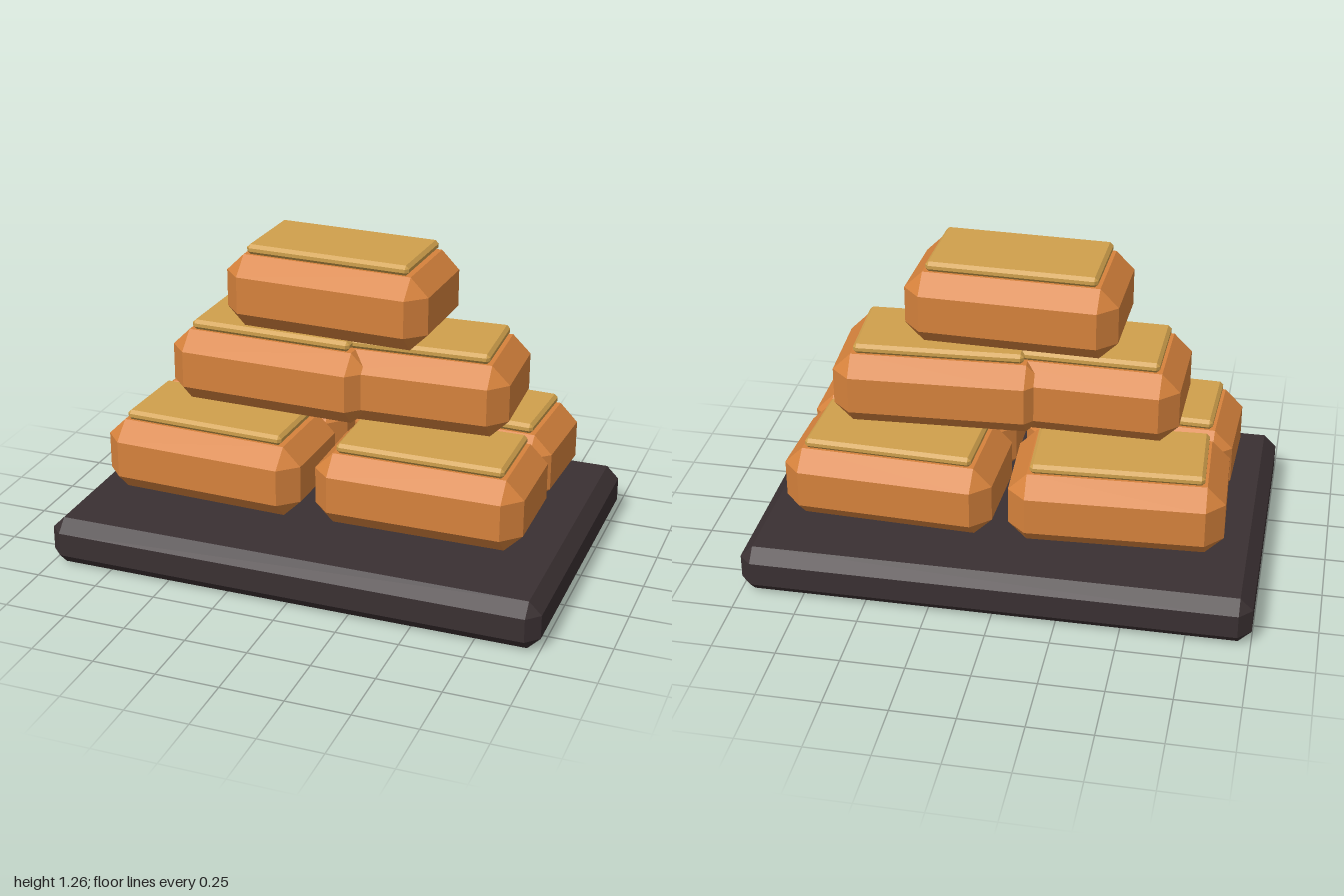
import * as THREE from 'three';
import { ConvexGeometry } from 'three/addons/geometries/ConvexGeometry.js';

const flat = (name, color) => {
  const m = new THREE.MeshStandardMaterial({ color });
  m.name = name;
  return m;
};

// Box with every edge and corner cut by the bevel c
function chamferBox(w, h, d, c) {
  const points = [];
  for (const sx of [-1, 1]) for (const sy of [-1, 1]) for (const sz of [-1, 1]) {
    const x = w / 2, y = h / 2, z = d / 2;
    points.push(
      new THREE.Vector3(sx * x, sy * (y - c), sz * (z - c)),
      new THREE.Vector3(sx * (x - c), sy * y, sz * (z - c)),
      new THREE.Vector3(sx * (x - c), sy * (y - c), sz * z)
    );
  }
  return new ConvexGeometry(points);
}

export function createModel() {
  const model = new THREE.Group();
  model.name = 'brickPile';
  const charcoal = flat('charcoal', 0x3a3032);
  const copper = flat('copper', 0xd6823c);
  const gold = flat('gold', 0xd0a04c);

  const add = (parent, name, geometry, material, y) => {
    const mesh = new THREE.Mesh(geometry, material);
    mesh.name = name;
    mesh.position.y = y;
    parent.add(mesh);
  };

  // Base slab
  add(model, 'base', chamferBox(2, 0.196, 1.314, 0.05), charcoal, 0.098);

  // Stacked bricks, each with a thin top plate: name, x, bottom y, z, turn
  const body = chamferBox(0.83, 0.292, 0.485, 0.072);
  const plate = chamferBox(0.665, 0.04, 0.345, 0.013);
  const bricks = [
    ['bottomFrontRight', -0.44, 0.25, 0.2, -0.035],
    ['bottomFrontLeft', 0.437, 0.25, 0.193, 0.005],
    ['bottomBackRight', -0.44, 0.25, -0.25, 0.045],
    ['bottomBackLeft', 0.437, 0.25, -0.25, -0.045],
    ['middleRight', -0.24, 0.59, 0, -0.022],
    ['middleLeft', 0.29, 0.59, -0.047, 0.045],
    ['top', 0, 0.93, 0, -0.036],
  ];
  for (const [name, x, y, z, turn] of bricks) {
    const brick = new THREE.Group();
    brick.name = name + 'Brick';
    brick.position.set(x, y, z);
    brick.rotation.y = turn;
    add(brick, 'brickBody', body, copper, 0.146);
    add(brick, 'topPlate', plate, gold, 0.312);
    model.add(brick);
  }
  return model;
}
